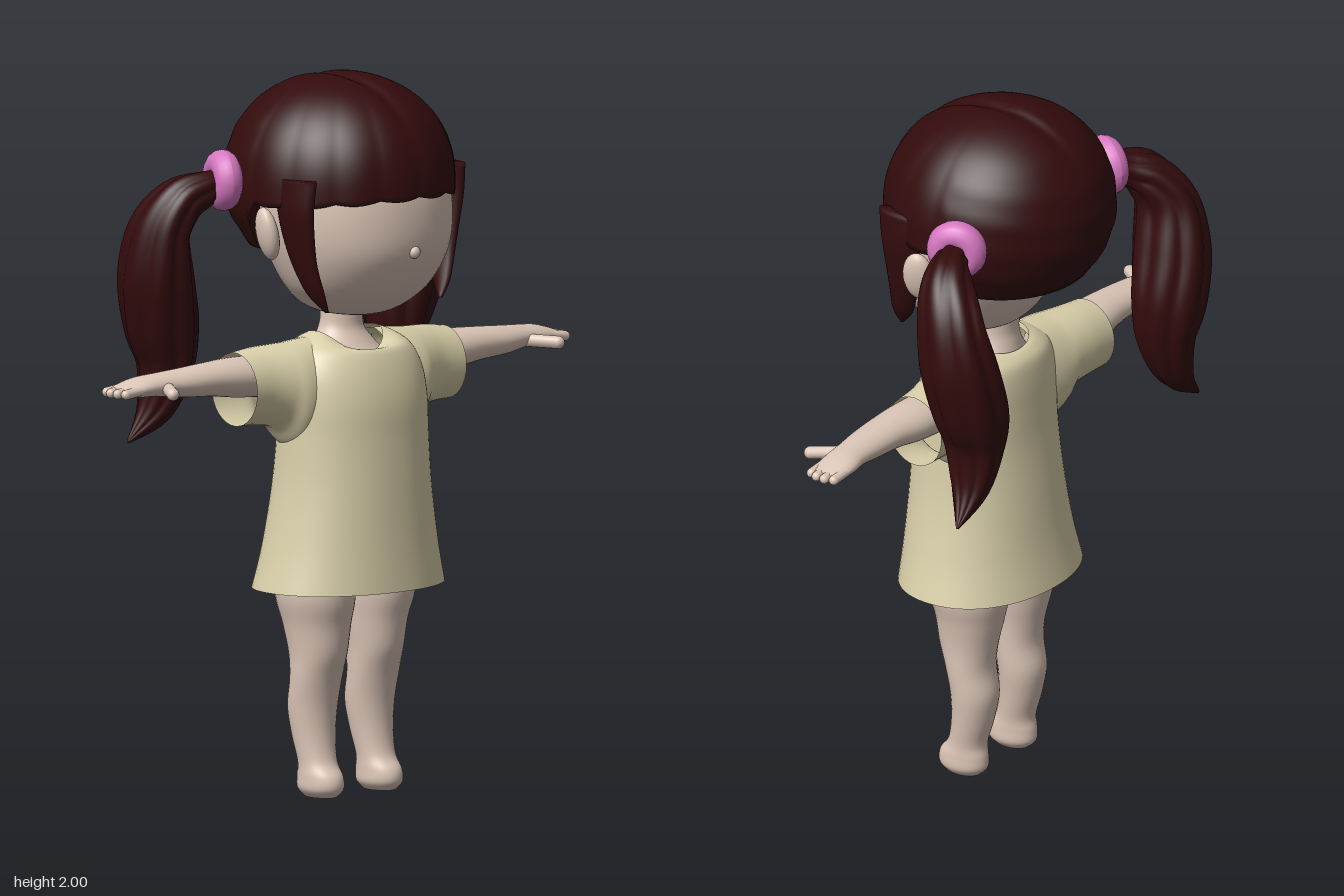
import * as THREE from 'three';

const mat = (name, color, side = THREE.FrontSide) => {
  const m = new THREE.MeshStandardMaterial({ color, side });
  m.name = name;
  return m;
};

// Make the faces of an indexed geometry point away from its centre
function orient(geo) {
  const p = geo.attributes.position, ix = geo.index.array;
  geo.computeBoundingBox();
  const c = geo.boundingBox.getCenter(new THREE.Vector3());
  const v = [0, 1, 2].map(() => new THREE.Vector3());
  let vol = 0;
  for (let i = 0; i < ix.length; i += 3) {
    v.forEach((q, k) => q.fromBufferAttribute(p, ix[i + k]).sub(c));
    vol += v[0].dot(v[1].cross(v[2]));
  }
  if (vol < 0) for (let i = 0; i < ix.length; i += 3) [ix[i], ix[i + 1]] = [ix[i + 1], ix[i]];
  geo.computeVertexNormals();
  return geo;
}

const mirrored = (geo) => orient(geo.clone().scale(-1, 1, 1));

// Skin a list of closed rings
function loft(rings, capped) {
  const n = rings[0].length, pos = [], idx = [];
  rings.forEach((r) => r.forEach((p) => pos.push(p.x, p.y, p.z)));
  for (let j = 0; j < rings.length - 1; j++)
    for (let i = 0; i < n; i++) {
      const a = j * n + i, b = j * n + (i + 1) % n;
      idx.push(a, b, a + n, b, b + n, a + n);
    }
  if (capped) [0, rings.length - 1].forEach((j) => {
    const c = rings[j].reduce((s, p) => s.add(p), new THREE.Vector3()).divideScalar(n);
    const k = pos.length / 3;
    pos.push(c.x, c.y, c.z);
    for (let i = 0; i < n; i++) {
      const a = j * n + i, b = j * n + (i + 1) % n;
      idx.push(...(j ? [a, b, k] : [b, a, k]));
    }
  });
  const geo = new THREE.BufferGeometry();
  geo.setAttribute('position', new THREE.Float32BufferAttribute(pos, 3));
  geo.setIndex(idx);
  return orient(geo);
}

// Catmull-Rom value of column k of a table at t in 0..1
function sample(rows, t, k) {
  const f = t * (rows.length - 1), i = Math.min(Math.floor(f), rows.length - 2), u = f - i;
  const g = (j) => rows[Math.max(0, Math.min(rows.length - 1, j))][k] || 0;
  const a = g(i - 1), b = g(i), c = g(i + 1), d = g(i + 2);
  return b + 0.5 * u * (c - a + u * (2 * a - 5 * b + 4 * c - d + u * (3 * (b - c) + d - a)));
}

// Body part from rows of [x, y, z, depth radius, other radius, front dip]
function limb(rows, { axis, seg = 32, power = 1, lobe = () => 1, capped = true } = {}) {
  const N = (rows.length - 1) * 5, rings = [];
  const at = (t) => new THREE.Vector3(sample(rows, t, 0), sample(rows, t, 1), sample(rows, t, 2));
  const pw = (v) => Math.sign(v) * Math.abs(v) ** power;
  for (let j = 0; j <= N; j++) {
    const t = j / N, c = at(t);
    const T = axis ? axis.clone() : at(Math.min(1, t + 0.02)).sub(at(Math.max(0, t - 0.02))).normalize();
    const A = new THREE.Vector3(0, 0, 1).addScaledVector(T, -T.z).normalize();
    const B = T.clone().cross(A);
    const ra = Math.max(0.001, sample(rows, t, 3)), rb = Math.max(0.001, sample(rows, t, 4));
    const dip = sample(rows, t, 5);
    rings.push(Array.from({ length: seg }, (_, i) => {
      const th = i / seg * Math.PI * 2, l = lobe(th, t);
      const p = c.clone().addScaledVector(A, ra * l * pw(Math.cos(th))).addScaledVector(B, rb * l * pw(Math.sin(th)));
      p.y -= dip * (Math.cos(th) > 0 ? 1 : 0.3) * Math.cos(th) ** 2;
      return p;
    }));
  }
  return loft(rings, capped);
}

// Upright part from rows of [y, half width, front z, back z, front dip]
const upright = (rows, opts) => limb(
  rows.map(([y, rx, f, b, dip = 0]) => [0, y, (f + b) / 2, (f - b) / 2, rx, dip]),
  { axis: new THREE.Vector3(0, 1, 0), seg: 48, ...opts });

// Rounded rod between two points
function rod(a, b, r) {
  const A = new THREE.Vector3(...a), B = new THREE.Vector3(...b), d = B.clone().sub(A);
  const g = new THREE.CapsuleGeometry(r, d.length(), 6, 12);
  g.applyQuaternion(new THREE.Quaternion().setFromUnitVectors(new THREE.Vector3(0, 1, 0), d.normalize()));
  return g.translate(...A.add(B).multiplyScalar(0.5).toArray());
}

// Hair shell: bangs in front, open at the ears, lower at the back
function hairCap() {
  const seg = 160, steps = 32, rings = [];
  for (let j = 0; j <= steps + 1; j++) {
    const s = Math.max(0.01, Math.min(1, j / steps)), inner = j > steps;
    rings.push(Array.from({ length: seg }, (_, i) => {
      const th = i / seg * Math.PI * 2, c = Math.cos(th), side = Math.acos(THREE.MathUtils.clamp(c, -1, 1));
      const back = THREE.MathUtils.smoothstep(side, 1.55, 1.75);
      const clump = Math.abs(Math.sin(th * 8));
      const edge = THREE.MathUtils.lerp(1.685 - 0.02 * Math.sin(th) ** 2 - 0.008 * clump, 1.525, back);
      let y = 2 - (2 - edge) * (1 - Math.cos(s * Math.PI / 2));
      const up = THREE.MathUtils.clamp((y - 1.7) / 0.3, 0, 1), down = Math.max(0, (1.7 - y) / 0.2);
      let f = Math.max(0, 1 - up ** 2.2) ** (1 / 2.1) * (1 - 0.3 * down * down * back);
      f *= 1 + 0.016 * s * (clump - 0.6) * (1 - back) + 0.008 * back * s * Math.sin(y * 75 + side * 3);
      if (inner) { f *= 0.9; y += 0.012; }
      const x = 0.318 * Math.sin(th) * f;
      y -= 0.015 * Math.exp(-((x / 0.025) ** 2)) * Math.max(0, up - 0.5) * 2;
      return new THREE.Vector3(x, y, (c > 0 ? 0.335 : 0.308) * c * f);
    }));
  }
  return loft(rings, true);
}

export function createModel() {
  const model = new THREE.Group();
  const skin = mat('skin', 0xdcc6b7);
  const cloth = mat('cream cloth', 0xdad0aa, THREE.DoubleSide);
  const hair = mat('dark hair', 0x330b0c, THREE.DoubleSide);
  const pink = mat('pink band', 0xd678c0);
  const add = (name, geo, material) => {
    const m = new THREE.Mesh(geo, material);
    m.name = name;
    model.add(m);
  };
  const pair = (name, geo, material) => {
    add(name + 'Left', geo, material);
    add(name + 'Right', mirrored(geo), material);
  };
  const X = new THREE.Vector3(1, 0, 0), Y = new THREE.Vector3(0, 1, 0);

  // Head, nose, ears
  add('head', upright([
    [1.335, 0.03, 0.11, 0.02], [1.347, 0.1, 0.165, -0.02], [1.375, 0.165, 0.21, -0.06], [1.43, 0.22, 0.265, -0.1],
    [1.52, 0.262, 0.312, -0.15], [1.62, 0.285, 0.318, -0.2], [1.72, 0.285, 0.3, -0.24], [1.82, 0.24, 0.25, -0.22],
    [1.9, 0.15, 0.15, -0.13], [1.93, 0.02, 0.02, -0.02]], { power: 0.95 }), skin);
  add('nose', new THREE.SphereGeometry(0.018, 16, 12).scale(1, 1, 0.9).translate(0, 1.53, 0.312), skin);
  pair('ear', new THREE.SphereGeometry(1, 20, 14).scale(0.028, 0.075, 0.045).rotateZ(-0.2)
    .rotateY(0.3).translate(0.312, 1.585, 0.055), skin);

  // Neck, upper chest and hips
  add('neck', upright([
    [1.12, 0.16, 0.15, -0.07], [1.21, 0.13, 0.13, -0.06], [1.25, 0.1, 0.1, -0.05], [1.29, 0.07, 0.075, -0.042],
    [1.33, 0.062, 0.07, -0.037], [1.4, 0.065, 0.07, -0.045]]), skin);
  add('hips', new THREE.SphereGeometry(1, 28, 18).scale(0.2, 0.13, 0.12).translate(0, 0.7, 0.035), skin);

  // Dress body and sleeves
  add('dress', upright([
    [0.582, 0.29, 0.265, -0.175], [0.7, 0.262, 0.256, -0.152], [0.86, 0.237, 0.246, -0.13], [1, 0.229, 0.236, -0.112],
    [1.1, 0.228, 0.228, -0.105], [1.18, 0.222, 0.208, -0.1], [1.24, 0.195, 0.18, -0.09], [1.275, 0.15, 0.155, -0.07, 0.03],
    [1.292, 0.108, 0.122, -0.052, 0.06]], { seg: 64, power: 0.93, capped: false }), cloth);
  pair('sleeve', limb([
    [0.1, 1.14, 0.03, 0.09, 0.142], [0.17, 1.125, 0.03, 0.105, 0.153], [0.22, 1.13, 0.028, 0.108, 0.143],
    [0.26, 1.153, 0.02, 0.1, 0.117], [0.32, 1.158, 0.01, 0.094, 0.108], [0.392, 1.155, 0.008, 0.093, 0.102]],
    { axis: X, capped: false }), cloth);

  // Arms, fingers, thumbs
  pair('arm', limb([
    [0.2, 1.18, 0.015, 0.07, 0.06], [0.39, 1.19, 0.012, 0.072, 0.056], [0.5, 1.195, 0.015, 0.062, 0.047],
    [0.6, 1.195, 0.013, 0.057, 0.04], [0.68, 1.197, 0.005, 0.051, 0.032], [0.74, 1.195, -0.003, 0.054, 0.028],
    [0.79, 1.19, -0.005, 0.05, 0.02], [0.82, 1.187, -0.005, 0.04, 0.012]], { axis: X }), skin);
  [-0.043, -0.017, 0.01, 0.034].forEach((z, i) =>
    pair('finger' + (i + 1), rod([0.75, 1.193, z], [i % 3 ? 0.831 : 0.822, 1.186, z], 0.014), skin));
  pair('thumb', rod([0.665, 1.19, 0.03], [0.722, 1.186, 0.115], 0.018), skin);

  // Legs with rounded feet
  pair('leg', limb([
    [0.11, 0.75, 0.03, 0.11, 0.09], [0.113, 0.58, 0.033, 0.122, 0.104], [0.107, 0.48, 0.033, 0.1, 0.09],
    [0.106, 0.4, 0.037, 0.083, 0.08], [0.107, 0.33, 0.03, 0.067, 0.077], [0.107, 0.25, 0.016, 0.066, 0.072],
    [0.108, 0.17, 0.022, 0.059, 0.062], [0.109, 0.1, 0.038, 0.056, 0.054], [0.11, 0.06, 0.05, 0.073, 0.055],
    [0.11, 0.025, 0.052, 0.074, 0.054], [0.11, 0.002, 0.052, 0.052, 0.036]], { axis: Y }), skin);

  // Hair shell and side locks
  add('hair', hairCap(), hair);
  pair('sideLock', limb([
    [0.278, 1.74, 0.13, 0.085, 0.024], [0.281, 1.66, 0.135, 0.07, 0.026], [0.272, 1.58, 0.138, 0.06, 0.024],
    [0.258, 1.5, 0.148, 0.047, 0.021], [0.235, 1.42, 0.168, 0.033, 0.016], [0.212, 1.37, 0.188, 0.006, 0.005]],
    { axis: Y, seg: 20 }), hair);

  // Bands and pigtails
  pair('hairBand', new THREE.TorusGeometry(0.045, 0.04, 16, 32).rotateY(1.95).translate(0.338, 1.72, -0.098), pink);
  pair('pigtail', limb([
    [0.33, 1.715, -0.1, 0.035, 0.035], [0.39, 1.7, -0.115, 0.05, 0.05], [0.45, 1.665, -0.15, 0.075, 0.066],
    [0.487, 1.58, -0.19, 0.1, 0.075], [0.478, 1.45, -0.215, 0.115, 0.096], [0.446, 1.31, -0.23, 0.107, 0.1],
    [0.432, 1.2, -0.23, 0.087, 0.073], [0.465, 1.08, -0.24, 0.055, 0.047], [0.545, 0.995, -0.258, 0.004, 0.004]],
    { seg: 56, lobe: (th, t) => 0.9 + 0.13 * Math.abs(Math.sin(3.5 * th + 2 * t)) }), hair);

  return model;
}
